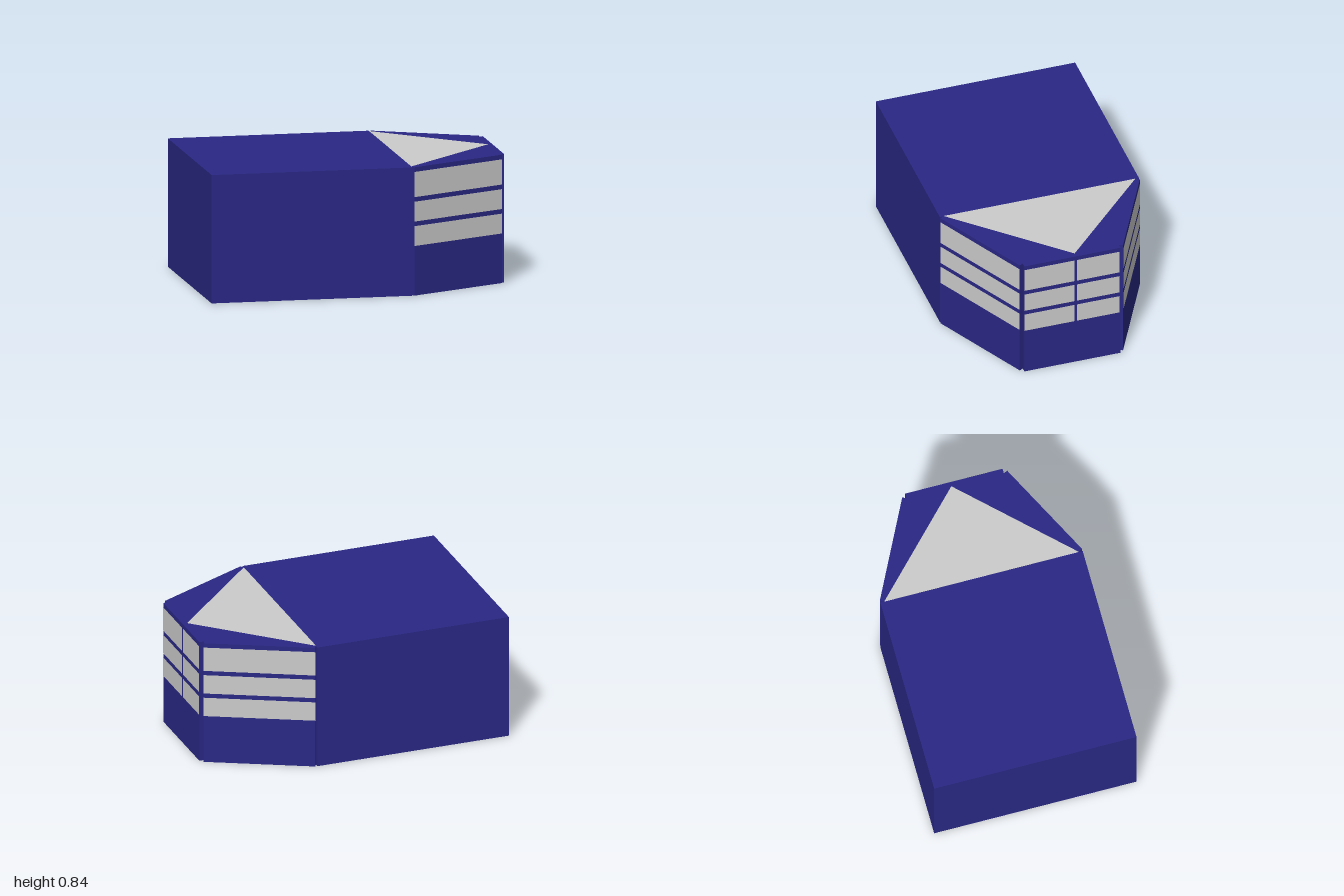
import * as THREE from 'three';

const H = 0.84, HALF = 0.675, JOIN = 0.32, LIFT = 0.002;
const blue = new THREE.MeshStandardMaterial({ color: 0x2a2885 });
const grey = new THREE.MeshStandardMaterial({ color: 0xcccccc });

// Window rows as [bottom, top]
const ROWS = [[0.325, 0.455], [0.485, 0.615], [0.645, 0.81]];

// Upright pane between two plan points [x, z]; its front is on the right hand of a -> b seen from above
function pane(a, b, y0, y1) {
  const dx = b[0] - a[0], dz = b[1] - a[1], len = Math.hypot(dx, dz);
  const nx = -dz / len, nz = dx / len;
  const mesh = new THREE.Mesh(new THREE.PlaneGeometry(len, y1 - y0), grey);
  mesh.position.set((a[0] + b[0]) / 2 + nx * LIFT, (y0 + y1) / 2, (a[1] + b[1]) / 2 + nz * LIFT);
  mesh.rotation.y = Math.atan2(nx, nz);
  return mesh;
}

export function createModel() {
  const model = new THREE.Group();
  model.name = 'vehicleBody';
  const add = (mesh, name) => {
    mesh.name = name;
    model.add(mesh);
  };

  // Rear box
  const box = new THREE.Mesh(new THREE.BoxGeometry(1 + JOIN, H, HALF * 2), blue);
  box.position.set((JOIN - 1) / 2, H / 2, 0);
  add(box, 'rearBox');

  // Tapered nose, with small grooves where the wall panels meet
  const half = [[JOIN, 0.648], [0.335, HALF], [0.98, 0.35], [0.967, 0.325], [1, 0.325]];
  const plan = [...half, ...half.map(([x, z]) => [x, -z]).reverse()];
  const noseGeo = new THREE.ExtrudeGeometry(
    new THREE.Shape(plan.map(([x, z]) => new THREE.Vector2(x, z))),
    { depth: H, bevelEnabled: false });
  noseGeo.rotateX(-Math.PI / 2);
  add(new THREE.Mesh(noseGeo, blue), 'nose');

  // Triangular roof panel
  const roof = new THREE.ShapeGeometry(new THREE.Shape([
    new THREE.Vector2(JOIN, -0.65), new THREE.Vector2(0.97, 0.025), new THREE.Vector2(JOIN, 0.65)]));
  roof.rotateX(-Math.PI / 2).translate(0, H + LIFT, 0);
  add(new THREE.Mesh(roof, grey), 'roofPanel');

  // Three rows of windows on both slanted walls and the end wall
  ROWS.forEach(([y0, y1], i) => {
    add(pane([0.335, HALF], [0.98, 0.35], y0, y1), `leftWindow${i + 1}`);
    add(pane([0.98, -0.35], [0.335, -HALF], y0, y1), `rightWindow${i + 1}`);
    add(pane([1 - LIFT, 0.325], [1 - LIFT, -0.015], y0, y1), `endWindowLeft${i + 1}`);
    add(pane([1 - LIFT, -0.03], [1 - LIFT, -0.32], y0, y1), `endWindowRight${i + 1}`);
  });
  // Keep the end panes just proud of the wall
  model.children.filter((m) => m.name.startsWith('endWindow')).forEach((m) => { m.position.x = 1 + LIFT / 2; });

  return model;
}
